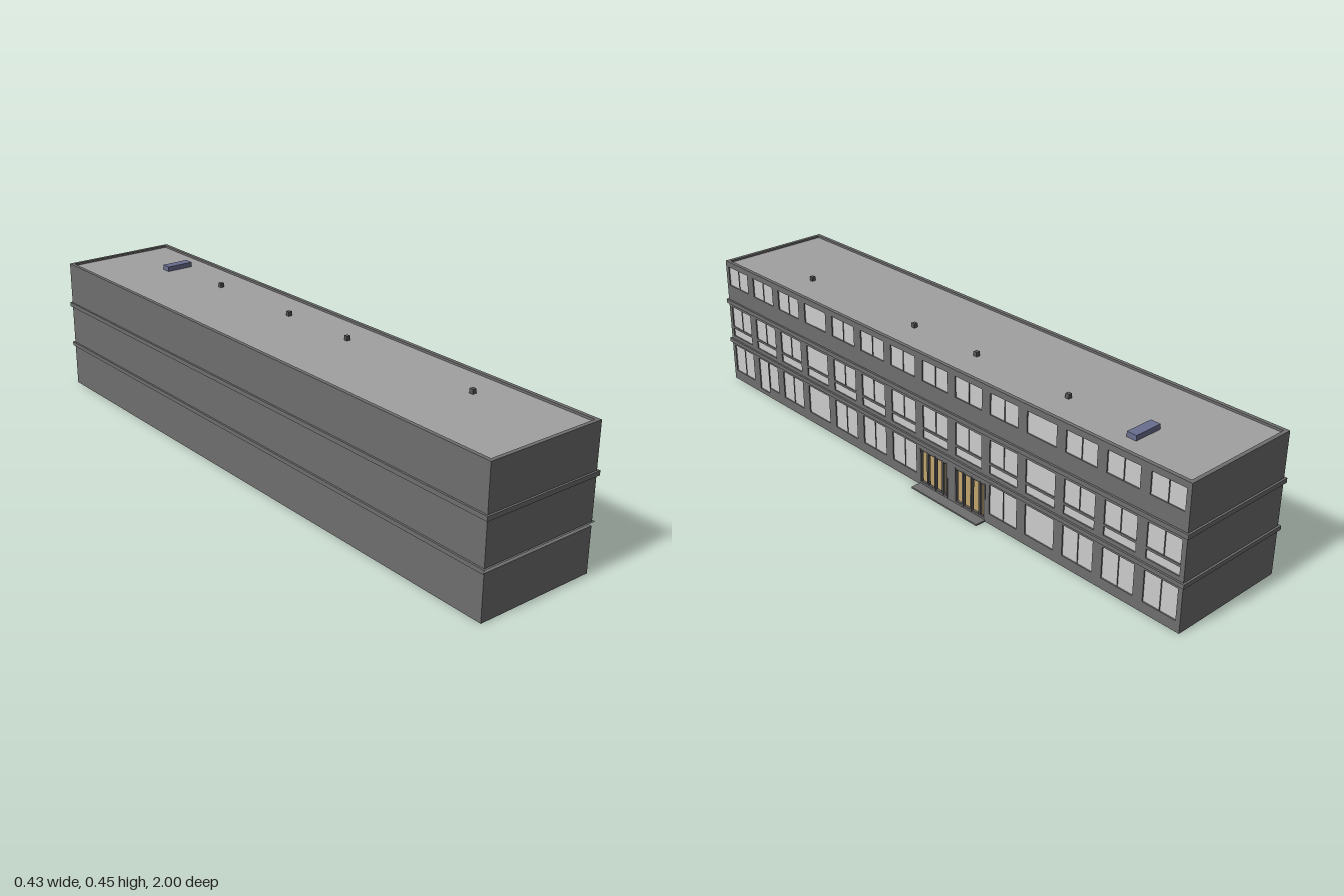
import * as THREE from 'three';

const X0 = -0.21, X1 = 0.18, ZE = 0.994, T = 0.012;   // shell extents and wall thickness
const COLS = 14, PITCH = 0.1423, WIN = 0.109;
const colZ = i => 0.925 - i * PITCH;
const DOORS = [[-0.125, 0], [-0.285, -0.155]];        // z ranges of the entrances

const mat = (color, side = THREE.FrontSide) => new THREE.MeshStandardMaterial({ color, side });
const wallMat = mat(0x6e6e6e), glassMat = mat(0xcccccc), roofMat = mat(0xa0a0a0);
const frameMat = mat(0x5a5a5a), floorMat = mat(0xb09460), ventMat = mat(0x585858), skyMat = mat(0x6a6f90);

// Box given by its lower and upper corners
function box(parent, name, material, x0, x1, y0, y1, z0, z1) {
  const m = new THREE.Mesh(new THREE.BoxGeometry(x1 - x0, y1 - y0, z1 - z0), material);
  m.position.set((x0 + x1) / 2, (y0 + y1) / 2, (z0 + z1) / 2);
  m.name = name;
  parent.add(m);
  return m;
}

function rect(target, z0, z1, y0, y1) {
  target.moveTo(-z1, y0);
  target.lineTo(-z0, y0);
  target.lineTo(-z0, y1);
  target.lineTo(-z1, y1);
  target.closePath();
  return target;
}

// Street wall with openings; each opening is {z0, z1, y0, y1}
function facade(parent, y0, y1, openings) {
  const s = rect(new THREE.Shape(), -ZE, ZE, y0, y1);
  for (const o of openings) s.holes.push(rect(new THREE.Path(), o.z0, o.z1, o.y0, o.y1));
  const g = new THREE.ExtrudeGeometry(s, { depth: T, bevelEnabled: false });
  g.rotateY(Math.PI / 2);
  g.translate(X1 - T, 0, 0);
  const m = new THREE.Mesh(g, wallMat);
  m.name = 'windowWall';
  parent.add(m);
}

// Glass set back in its opening, with optional centre bar
function windowUnit(parent, o) {
  const g = new THREE.Group();
  g.name = 'window';
  box(g, 'glass', glassMat, X1 - 0.008, X1 - 0.004, o.y0, o.y1, o.z0, o.z1);
  if (o.bar) {
    const zc = (o.z0 + o.z1) / 2;
    box(g, 'mullion', frameMat, X1 - 0.005, X1 - 0.002, o.y0, o.y1, zc - 0.0015, zc + 0.0015);
  }
  parent.add(g);
}

function storey(parent, name, y0, y1) {
  const g = new THREE.Group();
  g.name = name;
  box(g, 'backWall', wallMat, X0, X0 + T, y0, y1, -ZE, ZE);
  box(g, 'frontEndWall', wallMat, X0 + T, X1 - T, y0, y1, ZE - T, ZE);
  box(g, 'rearEndWall', wallMat, X0 + T, X1 - T, y0, y1, -ZE, -ZE + T);
  parent.add(g);
  return g;
}

export function createModel() {
  const model = new THREE.Group();
  model.name = 'building';

  // Openings, floor by floor
  const ground = [], upper = [];
  for (let i = 0; i < COLS; i++) {
    const z0 = colZ(i) - WIN / 2, z1 = colZ(i) + WIN / 2, bar = i % 7 !== 3;
    if (i === 1) {
      // side door beside a narrow window
      ground.push({ z0: colZ(i) + 0.001, z1, y0: 0.015, y1: 0.13 });
      ground.push({ z0, z1: colZ(i) - 0.001, y0: 0.035, y1: 0.13 });
    } else if (i !== 7 && i !== 8) {
      ground.push({ z0, z1, y0: 0.033, y1: 0.13, bar });
    }
    upper.push({ z0, z1, y0: 0.166, y1: 0.193 });
    upper.push({ z0, z1, y0: 0.2, y1: 0.273, bar });
    upper.push({ z0, z1, y0: 0.352, y1: 0.418, bar });
  }
  const doorHoles = DOORS.map(([z0, z1]) => ({ z0, z1, y0: 0.008, y1: 0.124 }));

  const low = storey(model, 'groundStorey', 0, 0.14);
  facade(low, 0, 0.14, [...ground, ...doorHoles]);
  ground.forEach(o => windowUnit(low, o));

  const high = storey(model, 'upperStoreys', 0.153, 0.437);
  facade(high, 0.153, 0.437, upper);
  upper.forEach(o => windowUnit(high, o));

  // Projecting string courses; the lower one is open at its front end
  box(model, 'upperBand', wallMat, X0 - 0.006, X1 + 0.006, 0.284, 0.298, -1, 1);
  const band = box(model, 'lowerBand', wallMat, X0 - 0.006, X1 + 0.006, 0.14, 0.153, -1, 1);
  const index = Array.from(band.geometry.index.array);
  index.splice(24, 6);
  band.geometry.setIndex(index);
  band.geometry.clearGroups();

  // Entrances: posts and rails around open leaves
  for (const d of doorHoles) {
    const g = new THREE.Group();
    g.name = 'entrance';
    const w = d.z1 - d.z0;
    for (const f of [0, 0.17, 0.45, 0.73, 1]) {
      const z = d.z0 + 0.003 + f * (w - 0.006);
      box(g, 'doorPost', frameMat, X1 - 0.009, X1 + 0.001, d.y0, d.y1, z - 0.003, z + 0.003);
    }
    for (const y of [d.y0, d.y1 - 0.005])
      box(g, 'doorRail', frameMat, X1 - 0.009, X1, y, y + 0.005, d.z0, d.z1);
    model.add(g);
  }
  box(model, 'entranceStep', wallMat, X1, 0.215, 0, 0.005, -0.285, 0);

  // Floor and sunken roof
  box(model, 'floor', floorMat, X0 + 0.001, X1 - 0.001, -0.0005, 0.004, -ZE + 0.001, ZE - 0.001);
  box(model, 'roof', roofMat, X0 + T, X1 - T, 0.422, 0.43, -ZE + T, ZE - T);

  // Roof fittings
  for (const z of [-0.48, -0.12, 0.155, 0.665])
    box(model, 'roofVent', ventMat, 0.055, 0.068, 0.43, 0.444, z - 0.0065, z + 0.0065);
  box(model, 'skylight', skyMat, 0.018, 0.111, 0.43, 0.446, -0.76, -0.728);

  return model;
}
